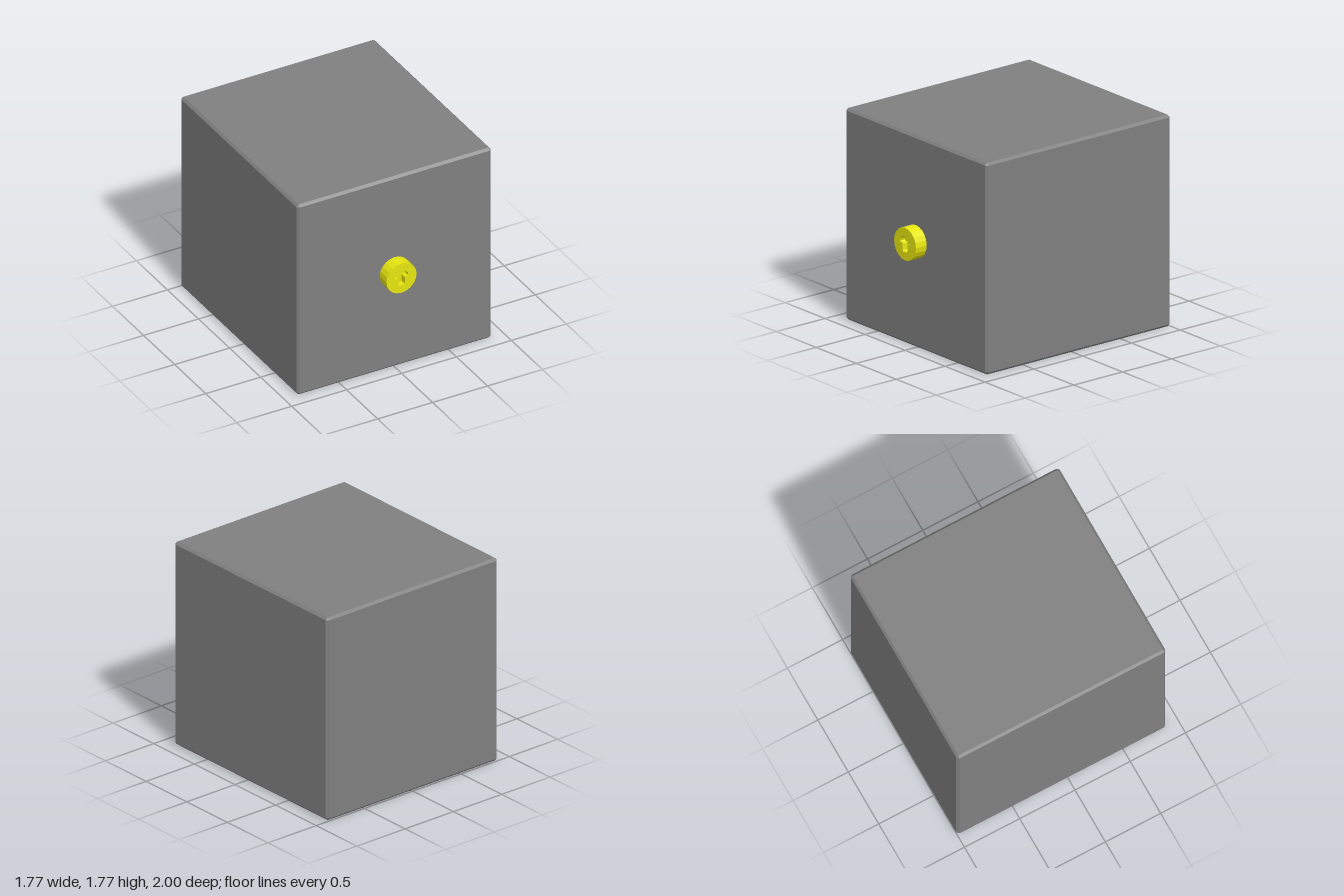
import * as THREE from 'three';
import { ConvexGeometry } from 'three/addons/geometries/ConvexGeometry.js';

const grey = new THREE.MeshStandardMaterial({ color: 0x808080, flatShading: true });
const yellow = new THREE.MeshStandardMaterial({ color: 0xe6e610, flatShading: true });

// Box with every edge and corner cut off by c: three points per corner
function chamferedBox(w, h, d, c) {
  const points = [];
  for (const sx of [-1, 1]) for (const sy of [-1, 1]) for (const sz of [-1, 1]) {
    const x = w / 2, y = h / 2, z = d / 2;
    points.push(
      new THREE.Vector3(sx * x, sy * (y - c), sz * (z - c)),
      new THREE.Vector3(sx * (x - c), sy * y, sz * (z - c)),
      new THREE.Vector3(sx * (x - c), sy * (y - c), sz * z));
  }
  return new ConvexGeometry(points);
}

// Keyhole outline: a dome above a narrow stem with rounded lower corners
function keyholePoints() {
  const right = [[0.022, -0.066], [0.029, -0.059], [0.03, -0.004], [0.034, 0.003], [0.055, 0.004], [0.062, 0.012]];
  for (let i = 1; i <= 4; i++) {
    const a = (i / 5) * Math.PI / 2;
    right.push([0.062 * Math.cos(a), 0.012 + 0.054 * Math.sin(a)]);
  }
  const left = right.map(([x, y]) => [-x, y]).reverse();
  return [...right, [0, 0.066], ...left].map(([x, y]) => new THREE.Vector2(x, y));
}

export function createModel() {
  const group = new THREE.Group();
  const add = (name, geometry, material, y, z, parent = group) => {
    const mesh = new THREE.Mesh(geometry, material);
    mesh.name = name;
    mesh.position.set(0, y, z);
    parent.add(mesh);
  };

  // Solid body
  add('body', chamferedBox(1.77, 1.774, 1.89, 0.02), grey, 0.887, -0.055);

  // Faceted lock barrel with a recessed keyhole
  const lock = new THREE.Group();
  lock.name = 'lock';
  lock.position.set(0, 0.89, 0.885);
  group.add(lock);

  const sides = 20, radius = 0.137, depth = 0.115;
  const rim = [];
  for (let i = 0; i < sides; i++) {
    const a = (i / sides) * Math.PI * 2;
    rim.push(new THREE.Vector2(radius * Math.cos(a), radius * Math.sin(a)));
  }
  const face = new THREE.Shape(rim);
  face.holes.push(new THREE.Path(keyholePoints()));
  add('lockBarrel', new THREE.ExtrudeGeometry(face, { depth, bevelEnabled: false }), yellow, 0, 0, lock);
  add('keyholeFloor', new THREE.ShapeGeometry(new THREE.Shape(keyholePoints())), yellow, 0, 0.065, lock);

  return group;
}
